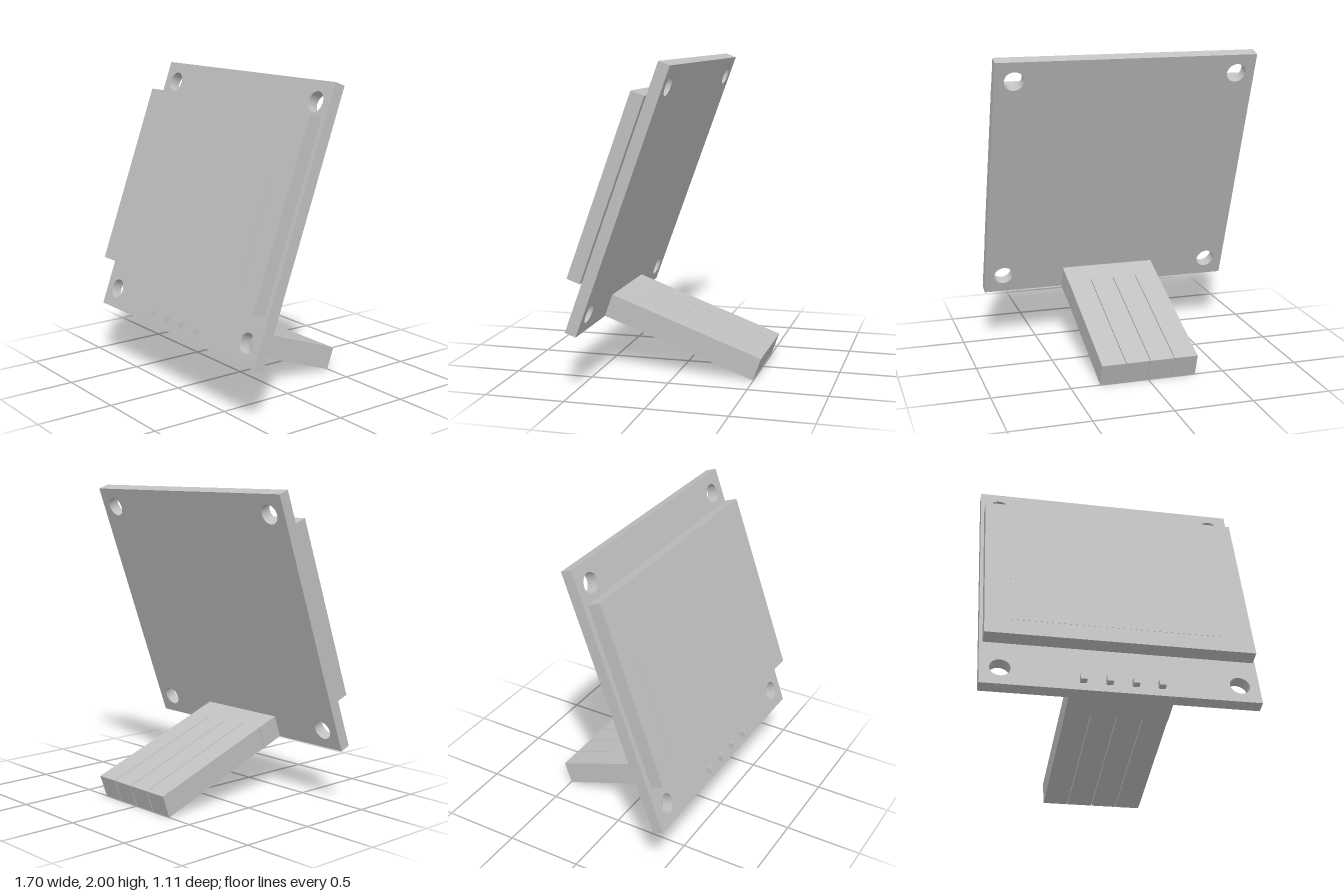
import * as THREE from 'three';

export function createModel() {
  const model = new THREE.Group();
  model.name = 'displayModule';
  const grey = new THREE.MeshStandardMaterial({ color: 0xc0c0c0 });
  grey.name = 'plain grey';

  // Everything is built upright from the board's lower front edge, then leaned back
  const tilted = new THREE.Group();
  tilted.name = 'tiltedAssembly';
  tilted.position.set(0, 0.38, 0.543);
  tilted.rotation.x = -THREE.MathUtils.degToRad(20);
  model.add(tilted);

  const add = (name, geometry) => {
    const mesh = new THREE.Mesh(geometry, grey);
    mesh.name = name;
    tilted.add(mesh);
    return mesh;
  };
  // Box given by its extents
  const box = (name, x0, x1, y0, y1, z0, z1) =>
    add(name, new THREE.BoxGeometry(x1 - x0, y1 - y0, z1 - z0))
      .position.set((x0 + x1) / 2, (y0 + y1) / 2, (z0 + z1) / 2);

  // Circuit board with four mounting holes
  const width = 1.7, height = 1.724, thick = 0.073;
  const outline = new THREE.Shape([
    new THREE.Vector2(-width / 2, 0), new THREE.Vector2(width / 2, 0),
    new THREE.Vector2(width / 2, height), new THREE.Vector2(-width / 2, height),
  ]);
  for (const x of [-0.726, 0.726]) {
    for (const y of [0.129, height - 0.129]) {
      outline.holes.push(new THREE.Path().absarc(x, y, 0.063, 0, Math.PI * 2, true));
    }
  }
  add('circuitBoard', new THREE.ExtrudeGeometry(outline, {
    depth: thick, bevelEnabled: false, curveSegments: 24,
  })).position.z = -thick;

  // Screen floating just in front of the board, with its active area
  box('screen', -0.83, 0.83, 0.311, 1.506, 0.016, 0.103);
  box('activeArea', -0.67, 0.65, 0.43, 1.1, 0.1, 0.104);

  // Header block behind the board
  box('pinHeader', -0.315, 0.315, 0.002, 0.153, -0.227, -thick);

  // Four pins through the board and four plug housings side by side
  const pitch = 0.1575, gap = 0.0025;
  for (let i = 0; i < 4; i++) {
    const x = (i - 1.5) * pitch;
    box('pin', x - 0.02, x + 0.02, 0.055, 0.095, -0.15, 0.038);
    box('plugHousing', x - pitch / 2 + gap, x + pitch / 2 - gap, 0.002, 0.153, -1.105, -0.227);
  }
  return model;
}
